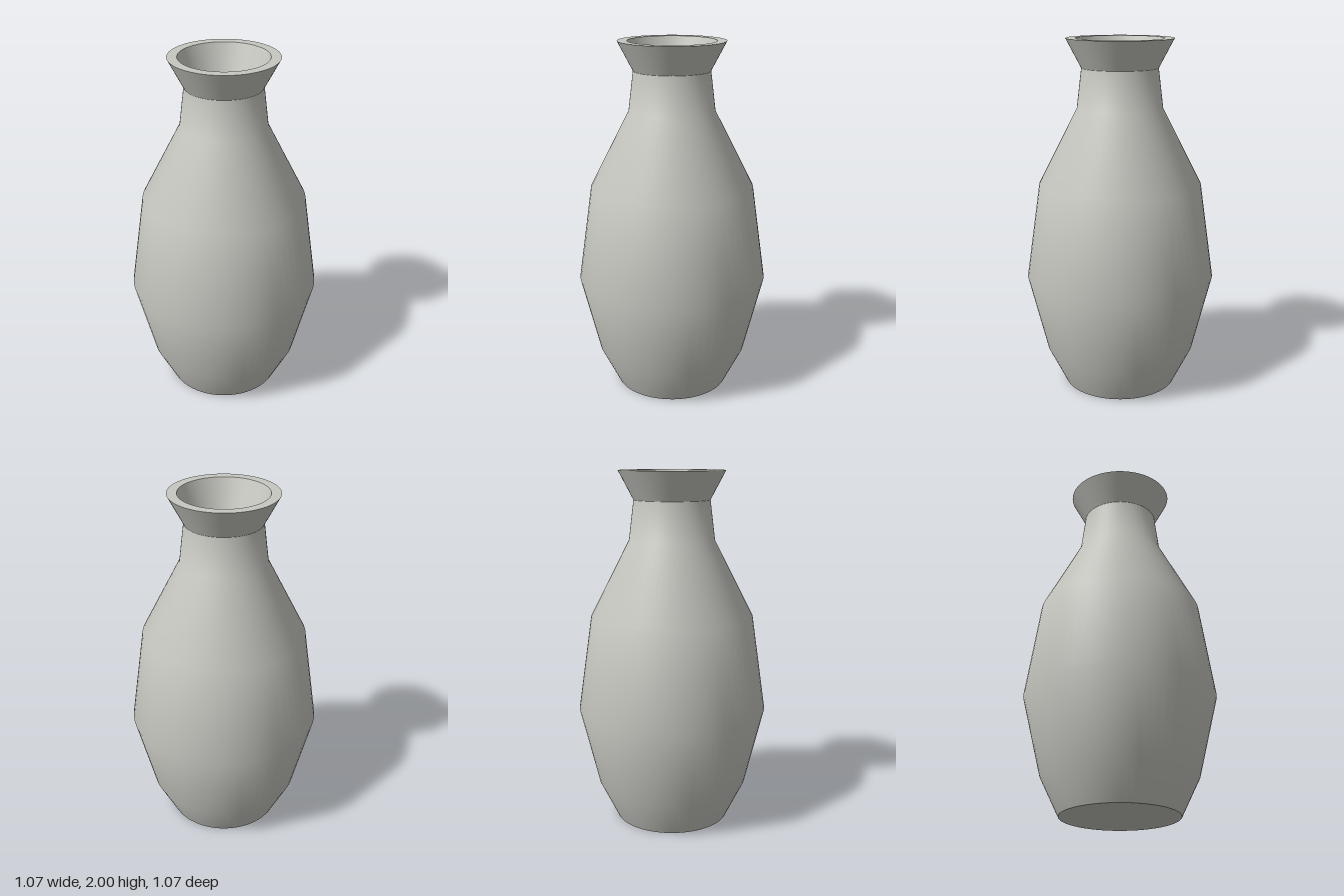
import * as THREE from 'three';

export function createModel() {
  const vase = new THREE.Group();
  vase.name = 'vase';
  const clay = new THREE.MeshStandardMaterial({ color: 0xc8c8c2 });
  clay.name = 'pale grey clay';

  // Each section is smooth in itself and meets the next at a sharp edge.
  // Profiles run as [radius, height]: outside upward, then inside downward.
  const sections = {
    base: [[0, 0], [0.325, 0]],
    body: [[0.325, 0], [0.43, 0.215], [0.537, 0.655], [0.458, 1.195], [0.24, 1.62], [0.213, 1.84]],
    flaredLip: [[0.213, 1.84], [0.297, 2]],
    rim: [[0.297, 2], [0.243, 2]],
    mouth: [[0.243, 2], [0.173, 1.8]],
    innerWall: [[0.173, 1.8], [0.195, 1.6], [0.41, 1.18], [0.485, 0.655], [0.385, 0.235], [0.3, 0.06]],
    innerFloor: [[0.3, 0.06], [0, 0.06]],
  };

  for (const [name, profile] of Object.entries(sections)) {
    const points = profile.map(([r, y]) => new THREE.Vector2(r, y));
    const mesh = new THREE.Mesh(new THREE.LatheGeometry(points, 64), clay);
    mesh.name = name;
    vase.add(mesh);
  }
  return vase;
}
